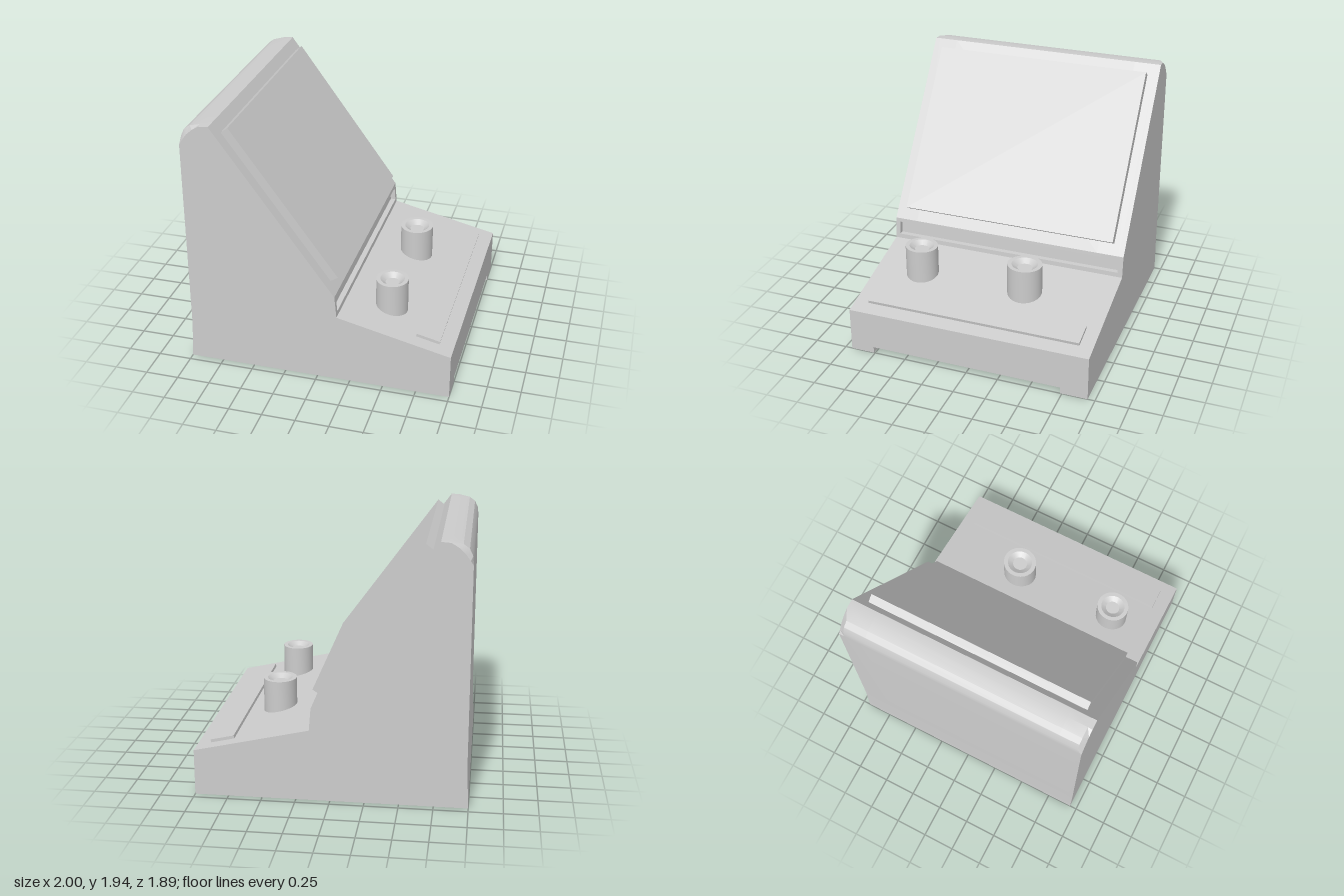
import * as THREE from 'three';
import { toCreasedNormals } from 'three/addons/utils/BufferGeometryUtils.js';

const material = new THREE.MeshStandardMaterial({ color: 0xcccccc });

function addMesh(group, name, geometry) {
  const mesh = new THREE.Mesh(geometry, material);
  mesh.name = name;
  group.add(mesh);
  return mesh;
}

// Side outline of the case, counter-clockwise, with optional recesses.
// Every variant has the same point count so the sections can be lofted.
function outline({ slot = false, base = false, round = true }) {
  const floor = base ? 0.05 : 0;
  const depth = slot ? 0.04 : 0;
  const shoulder = round
    ? [[-0.83, 1.94], [-0.91, 1.922], [-0.953, 1.89], [-0.977, 1.84]]
    : [[-0.83, 1.935], [-0.88, 1.905], [-0.925, 1.865], [-0.962, 1.815]];
  return [
    [-1, 0], [-0.77, 0], [-0.77, floor], [1, floor], // underside
    [1, 0.345], [0.15, 0.54], // front edge and sloping deck
    [0.147, 0.575], [0.147 - depth, 0.575], [0.138 - depth, 0.68], [0.138, 0.68], // slot
    [0.135, 0.71], [-0.76, 1.94], // sloping face
    ...shoulder,
    [-0.983, 1.78], [-0.985, 0.3], // back
  ];
}

// Loft of outlines along z, closed by flat caps
function loft(sections) {
  const positions = [];
  const a = new THREE.Vector3(), b = new THREE.Vector3();
  const triangle = (p, q, r) => {
    a.subVectors(q, p);
    b.subVectors(r, p);
    if (a.cross(b).length() > 1e-7) for (const v of [p, q, r]) positions.push(v.x, v.y, v.z);
  };
  const rings = sections.map(([z, options]) =>
    outline(options).map(([x, y]) => new THREE.Vector3(x, y, z)));
  for (let s = 0; s < rings.length - 1; s++) {
    const near = rings[s], far = rings[s + 1];
    near.forEach((p, i) => {
      const j = (i + 1) % near.length;
      triangle(p, far[i], near[j]);
      triangle(near[j], far[i], far[j]);
    });
  }
  const first = rings[0], last = rings[rings.length - 1];
  const flat = first.map((p) => new THREE.Vector2(p.x, p.y));
  for (const [i, j, k] of THREE.ShapeUtils.triangulateShape(flat, [])) {
    triangle(first[i], first[j], first[k]);
    triangle(last[i], last[k], last[j]);
  }
  const geometry = new THREE.BufferGeometry();
  geometry.setAttribute('position', new THREE.Float32BufferAttribute(positions, 3));
  return toCreasedNormals(geometry, 0.4);
}

// Straight prism with an outline in x and y, running between two z values
function prism(points, z0, z1) {
  const shape = new THREE.Shape(points.map(([x, y]) => new THREE.Vector2(x, y)));
  return new THREE.ExtrudeGeometry(shape, { depth: z1 - z0, bevelEnabled: false }).translate(0, 0, z0);
}

export function createModel() {
  const group = new THREE.Group();
  group.name = 'desktopConsole';

  // Case with softened rear corners, long slot and open underside recess
  addMesh(group, 'case', loft([
    [0.945, { round: false }],
    [0.91, {}],
    [0.91, { slot: true }],
    [0.76, { slot: true }],
    [0.76, { slot: true, base: true }],
    [-0.735, { slot: true, base: true }],
    [-0.735, { slot: true }],
    [-0.905, { slot: true }],
    [-0.905, {}],
    [-0.945, { round: false }],
  ]));

  // Raised display panel on the sloping face
  addMesh(group, 'displayPanel', prism(
    [[-0.721, 1.853], [0.064, 0.773], [0.135, 0.82], [-0.655, 1.905]], -0.855, 0.85));

  // Low raised strip on the deck
  addMesh(group, 'deckStrip', prism(
    [[0.715, 0.39], [0.89, 0.35], [0.898, 0.392], [0.724, 0.432]], -0.84, 0.835));

  // Two knobs with dished tops
  for (const [name, z, radius] of [['rightKnob', -0.275, 0.127], ['leftKnob', 0.568, 0.12]]) {
    const profile = [[0, 0.675], [0.43, 0.675], [0.75, 0.705], [1, 0.705], [1, 0.4]]
      .map(([r, y]) => new THREE.Vector2(r * radius, y)).reverse();
    const knob = addMesh(group, name, toCreasedNormals(new THREE.LatheGeometry(profile, 40), 0.4));
    knob.position.set(0.475, 0, z);
    knob.scale.z = 1.05;
  }
  return group;
}
